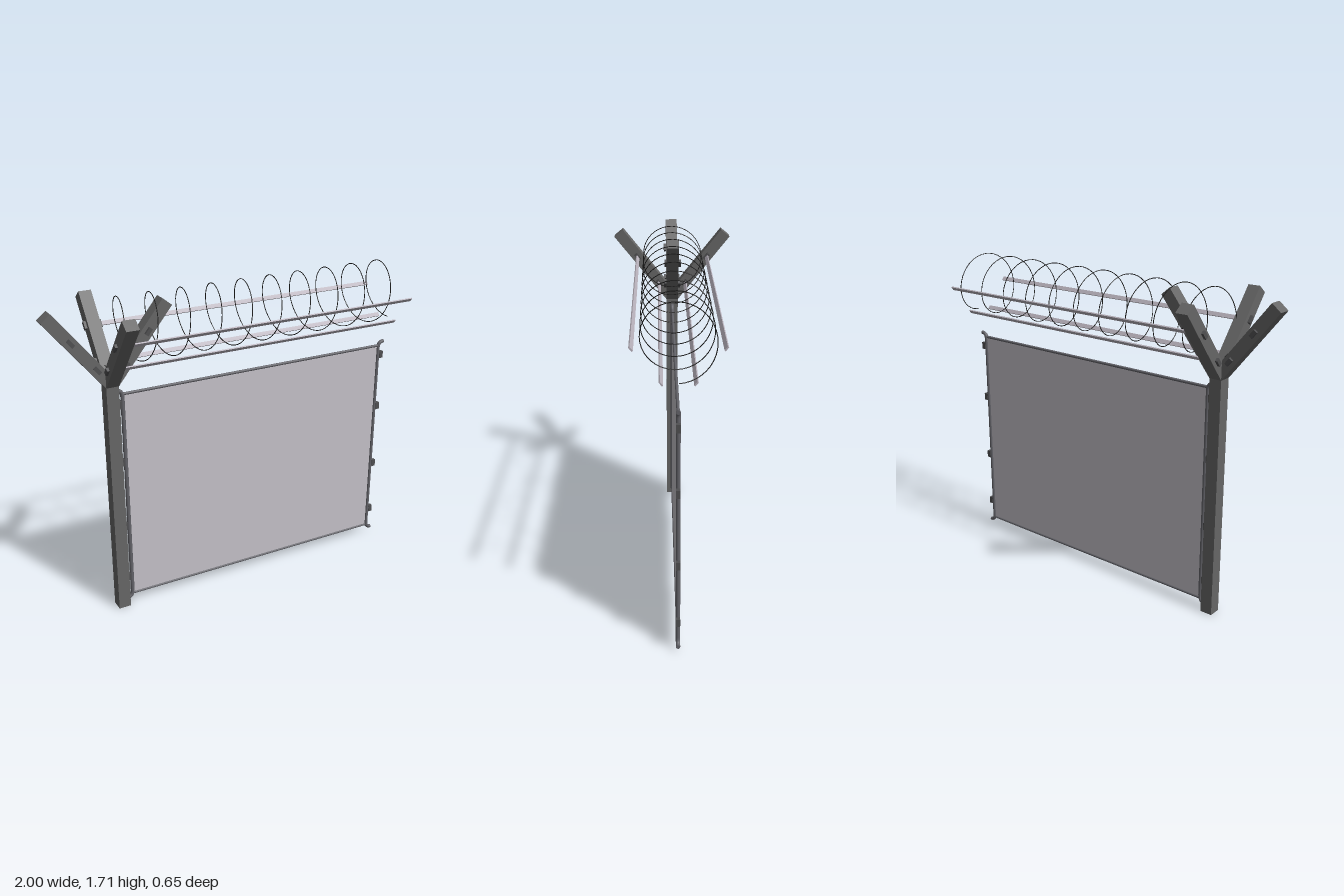
import * as THREE from 'three';

const mat = (name, color, side = THREE.FrontSide) => {
  const m = new THREE.MeshStandardMaterial({ color, side });
  m.name = name;
  return m;
};

export function createModel() {
  const model = new THREE.Group();
  model.name = 'fenceSection';
  const postGrey = mat('post grey', 0x666666);
  const frameGrey = mat('frame grey', 0x64646a, THREE.DoubleSide);
  const clipGrey = mat('clip grey', 0x505052);
  const panelGrey = mat('panel grey', 0xc4c1c8);
  const stripGrey = mat('strip grey', 0xb8b2bc);
  const wireBlack = mat('wire black', 0x1c1c1c);

  const add = (parent, name, geometry, material, x = 0, y = 0, z = 0) => {
    const mesh = new THREE.Mesh(geometry, material);
    mesh.name = name;
    mesh.position.set(x, y, z);
    parent.add(mesh);
    return mesh;
  };
  const box = (w, h, d) => new THREE.BoxGeometry(w, h, d);

  // Square post
  const postX = -0.672, armY = 1.28, lean = 0.677, armLength = 0.484;
  add(model, 'post', box(0.066, 1.272, 0.066), postGrey, postX, 0.636, 0);

  // Four leaning arms, each with two through-clips
  const clipAt = [0.118, 0.314];
  for (let i = 0; i < 4; i++) {
    const turn = new THREE.Group();
    turn.name = 'armMount';
    turn.position.set(postX, armY, 0);
    turn.rotation.y = i * Math.PI / 2;
    const arm = new THREE.Group();
    arm.name = 'arm';
    arm.rotation.z = -lean;
    add(arm, 'armBeam', box(0.062, armLength, 0.066), postGrey, 0, armLength / 2, 0);
    for (const d of clipAt) add(arm, 'armClip', box(0.02, 0.04, 0.092), clipGrey, 0, d, 0);
    turn.add(arm);
    model.add(turn);
  }

  // Flat strips carried by the front and back arms
  for (const side of [-1, 1]) {
    for (const d of clipAt) {
      const strip = add(model, 'strip', box(1.64, 0.022, 0.007), stripGrey,
        0.17, armY + d * Math.cos(lean), side * d * Math.sin(lean));
      strip.rotation.x = side * lean;
    }
  }

  // Coiled wire, ten turns along x
  class Coil extends THREE.Curve {
    getPoint(t, target = new THREE.Vector3()) {
      const a = t * 20 * Math.PI - Math.PI;
      return target.set(-0.695 + 1.694 * t, 1.54 + 0.163 * Math.cos(a), -0.163 * Math.sin(a));
    }
  }
  add(model, 'coiledWire', new THREE.TubeGeometry(new Coil(), 400, 0.0022, 5), wireBlack);

  // Panel sheet and horizontal rails
  const left = -0.612, right = 0.945, low = 0.055, high = 1.215;
  const midX = (left + right) / 2, midY = (low + high) / 2;
  add(model, 'panel', box(right - left, high - low, 0.005), panelGrey, midX, midY, 0);
  for (const y of [low, high]) {
    const rail = add(model, 'rail', new THREE.CylinderGeometry(0.0075, 0.0075, right - left, 10), frameGrey, midX, y, 0);
    rail.rotation.z = Math.PI / 2;
  }

  // Upright tubes with ends hooked outward, and side clips
  for (const [x, s] of [[left, -1], [right, 1]]) {
    const p = (dx, y) => new THREE.Vector3(x + s * dx, y, 0);
    const path = new THREE.CurvePath();
    path.add(new THREE.QuadraticBezierCurve3(p(0.03, low - 0.022), p(0, low - 0.02), p(0, low + 0.015)));
    path.add(new THREE.LineCurve3(p(0, low + 0.015), p(0, high - 0.015)));
    path.add(new THREE.QuadraticBezierCurve3(p(0, high - 0.015), p(0, high + 0.02), p(0.03, high + 0.022)));
    add(model, 'upright', new THREE.TubeGeometry(path, 160, 0.0105, 10), frameGrey);
    for (const y of [0.165, 0.475, 0.845, 1.16]) {
      add(model, 'sideClip', box(0.022, 0.04, 0.02), clipGrey, x + s * 0.019, y, 0);
    }
    for (const y of [low - 0.022, high + 0.022]) {
      const cap = add(model, 'hookEnd', new THREE.CylinderGeometry(0.0105, 0.0105, 0.004, 10), frameGrey, x + s * 0.03, y, 0);
      cap.rotation.z = Math.PI / 2;
    }
  }
  return model;
}
